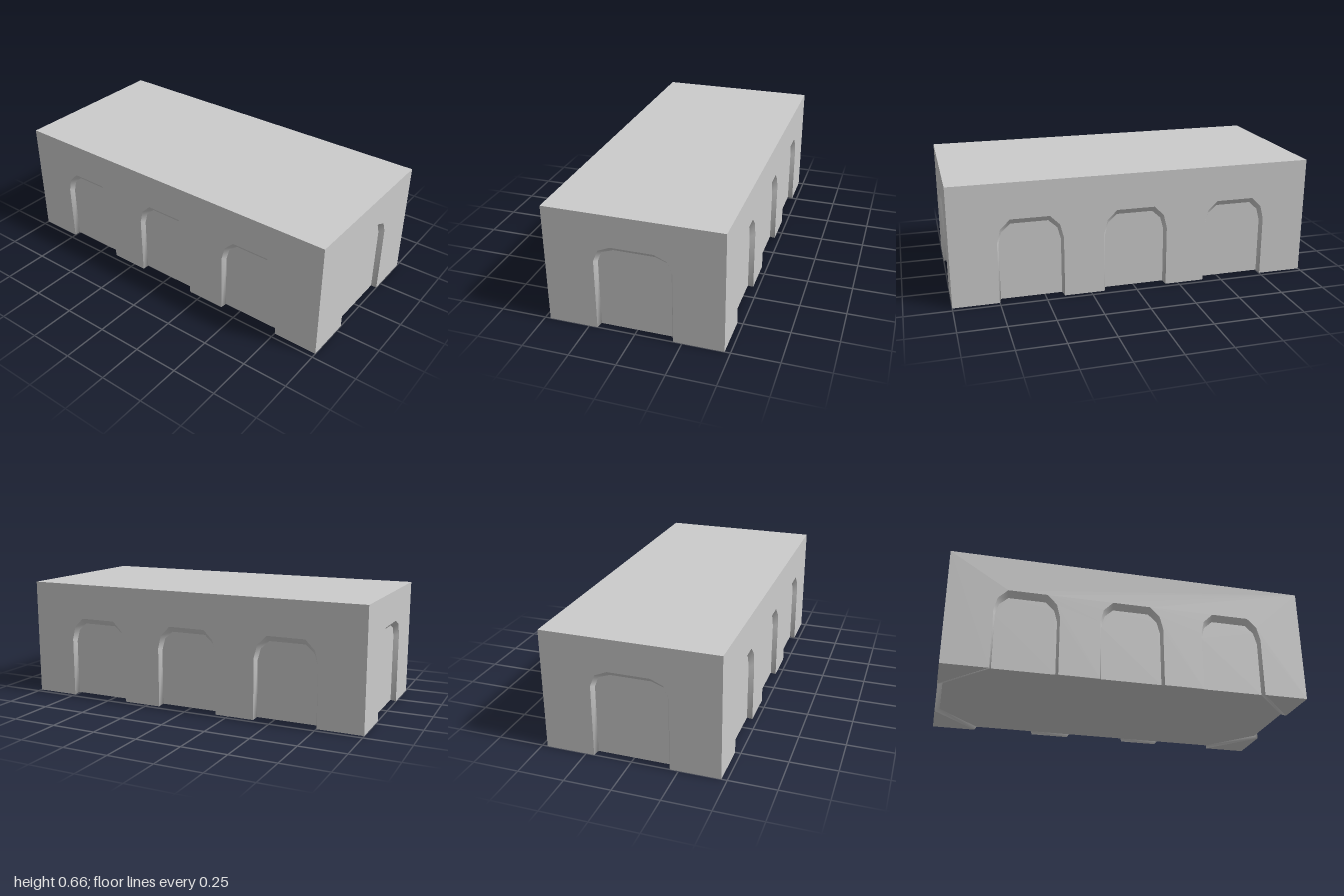
import * as THREE from 'three';

const W = 1, H = 0.66, D = 0.47;   // half width, height, half depth
const DEPTH = 0.028, RAISE = 0.01; // recess of the arch panels and of the underside

// Half arch outlines, leg to crown, on the wall face and at the back of the recess
const longArch = {
  outer: [[0.177, 0], [0.177, 0.335], [0.158, 0.41], [0.105, 0.462]],
  inner: [[0.166, RAISE], [0.166, 0.32], [0.148, 0.386], [0.1, 0.43]],
};
const endArch = {
  outer: [[0.205, 0], [0.205, 0.395], [0.178, 0.459], [0.112, 0.487]],
  inner: [[0.192, RAISE], [0.192, 0.382], [0.171, 0.436], [0.108, 0.459]],
};

// Mirrors a half outline into a full arch, left leg to right leg
const fullArch = (half, cx) => [
  ...half.map(([x, y]) => [cx - x, y]),
  ...half.map(([x, y]) => [cx + x, y]).reverse(),
];

const flat = (points) =>
  new THREE.ShapeGeometry(new THREE.Shape(points.map(([x, y]) => new THREE.Vector2(x, y))));

export function createModel() {
  const model = new THREE.Group();
  const material = new THREE.MeshStandardMaterial({ color: 0xcccccc });
  const add = (name, geometry, parent = model) => {
    const mesh = new THREE.Mesh(geometry, material);
    mesh.name = name;
    parent.add(mesh);
    return mesh;
  };

  const sides = [
    { name: 'front', turn: 0, half: W, out: D, arch: longArch, centres: [-0.575, 0, 0.575] },
    { name: 'left', turn: 1, half: D, out: W, arch: endArch, centres: [0] },
    { name: 'back', turn: 2, half: W, out: D, arch: longArch, centres: [-0.575, 0, 0.575] },
    { name: 'right', turn: 3, half: D, out: W, arch: endArch, centres: [0] },
  ];
  const up = new THREE.Vector3(0, 1, 0);
  const outerRing = [], innerRing = [], underside = [];

  sides.forEach(({ name, turn, half, out, arch, centres }) => {
    const angle = turn * Math.PI / 2;
    const side = new THREE.Group();
    side.name = name + 'Side';
    side.rotation.y = angle;
    model.add(side);
    const place = ([x, y], z) => new THREE.Vector3(x, y, z).applyAxisAngle(up, angle);

    const outline = [[-half, 0]];
    centres.forEach((cx) => {
      const outer = fullArch(arch.outer, cx), inner = fullArch(arch.inner, cx);
      outline.push(...outer);
      outerRing.push(...outer.map((p) => place(p, out)));
      innerRing.push(...inner.map((p) => place(p, out - DEPTH)));
      for (const p of [inner[0], inner[inner.length - 1]]) {
        const v = place(p, out - DEPTH);
        underside.push([v.x, v.z]);
      }
      add(name + 'ArchPanel', flat(inner), side).position.z = out - DEPTH;
    });
    outline.push([half, 0], [half, H], [-half, H]);
    add(name + 'Wall', flat(outline), side).position.z = out;
  });

  // Sloped rim running round every arch and across the underside between them
  const n = outerRing.length, index = [];
  for (let i = 0; i < n; i++) {
    const j = (i + 1) % n;
    index.push(i, n + j, j, i, n + i, n + j);
  }
  const rim = new THREE.BufferGeometry().setFromPoints([...outerRing, ...innerRing]);
  rim.setIndex(index);
  rim.computeVertexNormals();
  add('archRim', rim);

  // Flat top and recessed underside
  const top = new THREE.PlaneGeometry(2 * W, 2 * D).rotateX(-Math.PI / 2);
  add('top', top).position.y = H;
  add('underside', flat(underside).rotateX(Math.PI / 2)).position.y = RAISE;

  // Triangular feet at the four corners
  const legX = 0.575 + longArch.outer[0][0], legZ = endArch.outer[0][0];
  for (const sx of [-1, 1]) for (const sz of [-1, 1]) {
    const foot = flat([[sx * W, sz * D], [sx * W, sz * legZ], [sx * legX, sz * D]]);
    add('cornerFoot', foot.rotateX(Math.PI / 2));
  }
  return model;
}
